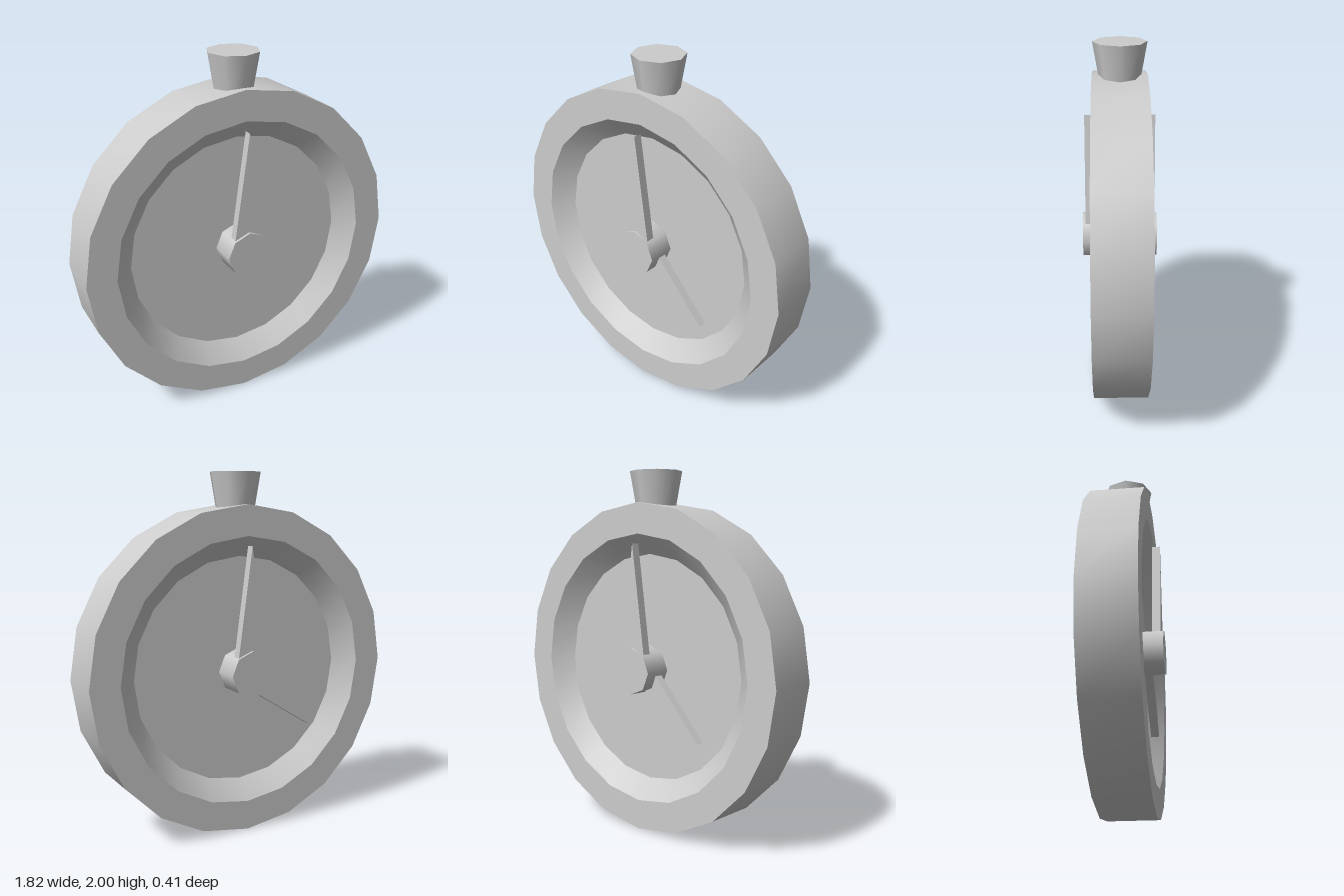
import * as THREE from 'three';
import { toCreasedNormals } from 'three/addons/utils/BufferGeometryUtils.js';

const CENTRE_Y = 0.917;
const material = new THREE.MeshStandardMaterial({ color: 0xcccccc });

function part(name, geometry) {
  const mesh = new THREE.Mesh(geometry, material);
  mesh.name = name;
  return mesh;
}

// Tapered pointer along +y, from inside the hub to its tip, between two depths
function makeHand(name, length, halfWidth, zBack, zFront, angle) {
  const shape = new THREE.Shape([
    new THREE.Vector2(-halfWidth, 0.03),
    new THREE.Vector2(halfWidth, 0.03),
    new THREE.Vector2(0, length),
  ]);
  const geometry = new THREE.ExtrudeGeometry(shape, { depth: zFront - zBack, bevelEnabled: false });
  geometry.translate(0, 0, zBack);
  const hand = part(name, geometry);
  hand.rotation.z = angle;
  return hand;
}

// Hub and two hands for one dial
function makePointers(name) {
  const group = new THREE.Group();
  group.name = name;
  const hub = part('hub', new THREE.CylinderGeometry(0.13, 0.13, 0.165, 8));
  hub.rotation.x = Math.PI / 2;
  hub.position.z = 0.1225;
  group.add(
    hub,
    makeHand('longHand', 0.693, 0.092, 0.142, 0.19, 0),
    makeHand('shortHand', 0.545, 0.071, 0.088, 0.135, -Math.PI / 2 - Math.atan2(0.35, 0.417)),
  );
  group.position.y = CENTRE_Y;
  return group;
}

export function createModel() {
  const model = new THREE.Group();
  model.name = 'pocketWatch';

  // Case with a bevelled dial recess on both faces
  const profile = [
    [0, -0.05], [0.635, -0.05], [0.745, -0.147], [0.912, -0.147],
    [0.912, 0.147], [0.745, 0.147], [0.635, 0.05], [0, 0.05],
  ].map(([r, z]) => new THREE.Vector2(r, z));
  const caseGeometry = toCreasedNormals(new THREE.LatheGeometry(profile, 20), Math.PI / 6);
  const body = part('case', caseGeometry);
  body.rotation.x = Math.PI / 2;
  body.position.y = CENTRE_Y;

  // Flared crown sunk into the top of the case
  const crown = part('crown', new THREE.CylinderGeometry(0.143, 0.1, 0.25, 8));
  crown.position.y = 1.875;

  // The back dial repeats the front one, turned half a turn
  const front = makePointers('frontPointers');
  const back = makePointers('backPointers');
  back.rotation.y = Math.PI;

  model.add(body, crown, front, back);
  return model;
}
